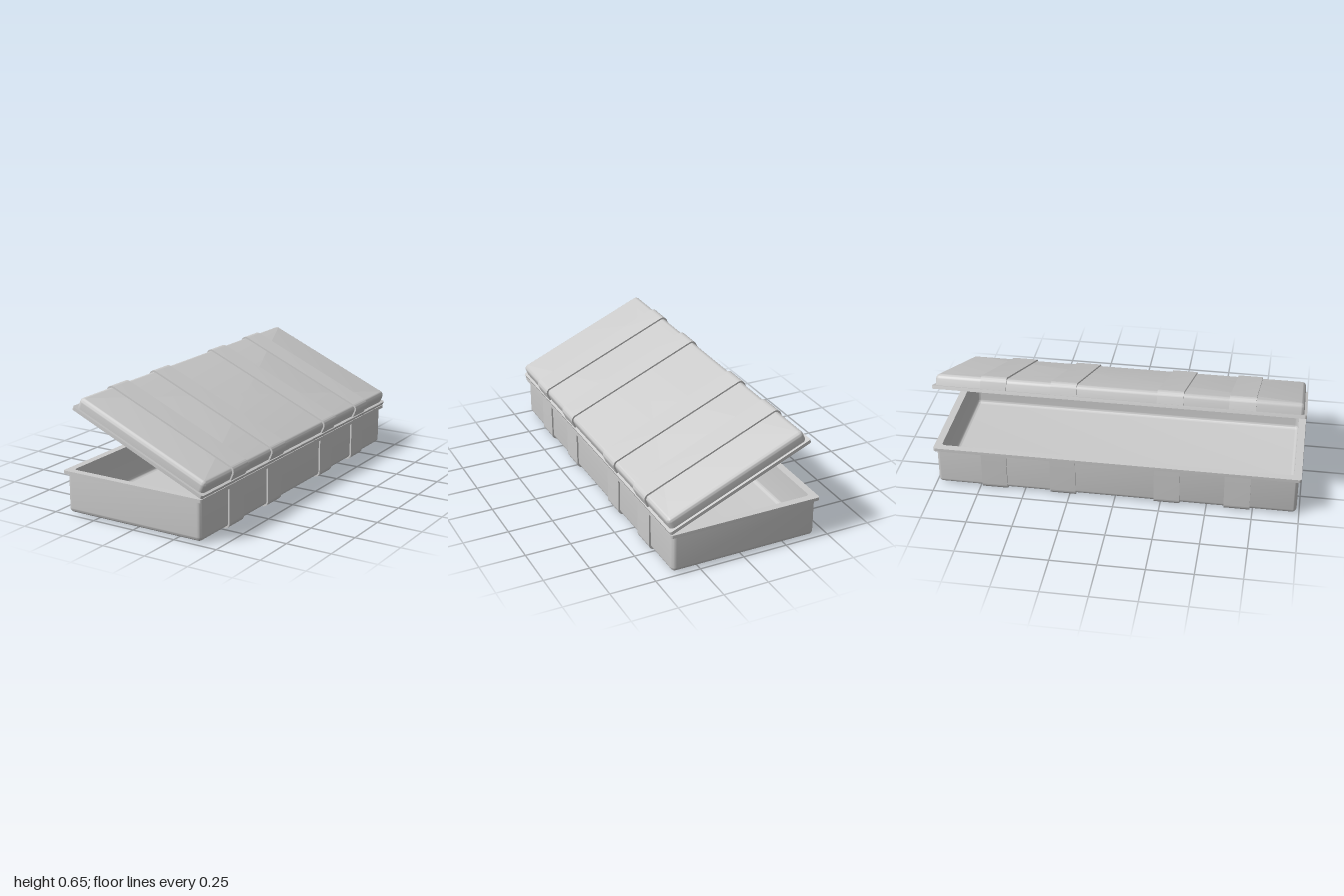
import * as THREE from 'three';
import { toCreasedNormals } from 'three/addons/utils/BufferGeometryUtils.js';

const HX = 0.4275, HZ = 1;           // half size of the rim
const WALL = 0.0145, INNER = 0.04;   // insets of outer and inner wall
const RIM = 0.018, BAND_WIDTH = 0.14;
const material = new THREE.MeshStandardMaterial({ color: 0xcccccc, side: THREE.DoubleSide });

// Rounded rectangle in the xz plane at height y
function ring(inset, y, radius) {
  const hx = HX - inset, hz = HZ - inset, pts = [], steps = 6;
  for (let q = 0; q < 4; q++) {
    const sx = q === 0 || q === 3 ? 1 : -1, sz = q < 2 ? 1 : -1;
    for (let i = 0; i <= steps; i++) {
      const t = (q + i / steps) * Math.PI / 2;
      pts.push([sx * (hx - radius) + radius * Math.cos(t), y, sz * (hz - radius) + radius * Math.sin(t)]);
    }
  }
  return pts;
}

// Open tray: rim top at y = 0, bottom at -depth
function trayGeometry(depth, floor) {
  const rings = [];
  const fillet = (inset, y, f) => {
    const out = [];
    for (let i = 0; i <= 6; i++) {
      const t = i / 6 * Math.PI / 2;
      const extra = f * (1 - Math.sin(t));
      out.push(ring(inset + extra, y + f * (1 - Math.cos(t)), Math.max(f - extra, 0.001)));
    }
    return out;
  };
  const centre = y => ring(0, y, 0.001).map(() => [0, y, 0]);
  rings.push(centre(-depth), ...fillet(WALL, -depth, 0.025));
  rings.push(ring(WALL, -RIM, 0.025), ring(0, -RIM, 0.012), ring(0, 0, 0.012), ring(INNER, 0, 0.02));
  rings.push(...fillet(INNER, -depth + floor, 0.02).reverse(), centre(-depth + floor));

  const n = rings[0].length, index = [];
  for (let i = 0; i < rings.length - 1; i++) {
    for (let j = 0; j < n; j++) {
      const a = i * n + j, b = i * n + (j + 1) % n;
      index.push(a, a + n, b, b, a + n, b + n);
    }
  }
  const g = new THREE.BufferGeometry();
  g.setAttribute('position', new THREE.Float32BufferAttribute(rings.flat(2), 3));
  g.setIndex(index);
  return toCreasedNormals(g, 0.6);
}

// U-shaped strap that wraps the tray below its rim
function bandGeometry(depth) {
  const s = new THREE.Shape();
  const trace = (h, bottom, r) => {
    s.lineTo(-h, bottom + r);
    s.absarc(-h + r, bottom + r, r, Math.PI, Math.PI * 1.5, false);
    s.absarc(h - r, bottom + r, r, Math.PI * 1.5, Math.PI * 2, false);
    s.lineTo(h, -RIM);
  };
  s.moveTo(-0.422, -RIM);
  trace(0.422, -depth, 0.032);
  // inner edge, hidden in the tray wall
  const h = 0.408, b = -depth + 0.015, r = 0.02;
  s.lineTo(h, -RIM);
  s.lineTo(h, b + r);
  s.absarc(h - r, b + r, r, 0, -Math.PI / 2, true);
  s.absarc(-h + r, b + r, r, -Math.PI / 2, -Math.PI, true);
  s.lineTo(-h, -RIM);
  s.closePath();
  const g = new THREE.ExtrudeGeometry(s, { depth: BAND_WIDTH, bevelEnabled: false, curveSegments: 8 });
  g.translate(0, 0, -BAND_WIDTH / 2);
  return toCreasedNormals(g, 0.6);
}

function boxHalf(name, depth, floor) {
  const half = new THREE.Group();
  half.name = name;
  const tray = new THREE.Mesh(trayGeometry(depth - 0.009, floor), material);
  tray.name = name + 'Shell';
  half.add(tray);
  const strap = bandGeometry(depth);
  for (const z of [-0.665, -0.285, 0.285, 0.665]) {
    const band = new THREE.Mesh(strap, material);
    band.name = name + 'Band';
    band.position.z = z;
    half.add(band);
  }
  return half;
}

export function createModel() {
  const model = new THREE.Group();
  model.name = 'hingedBox';

  const base = boxHalf('base', 0.24, 0.025);
  base.position.set(-0.0125, 0.24, 0);

  // Lid: a shallow upturned tray, swung open about the right edge
  const lidTray = boxHalf('lidTray', 0.088, 0.025);
  lidTray.rotation.x = Math.PI;
  const lid = new THREE.Group();
  lid.name = 'lid';
  lid.add(lidTray);
  lid.position.set(0.0225, 0.4115, 0);
  lid.rotation.z = -THREE.MathUtils.degToRad(23.2);

  model.add(base, lid);
  return model;
}
